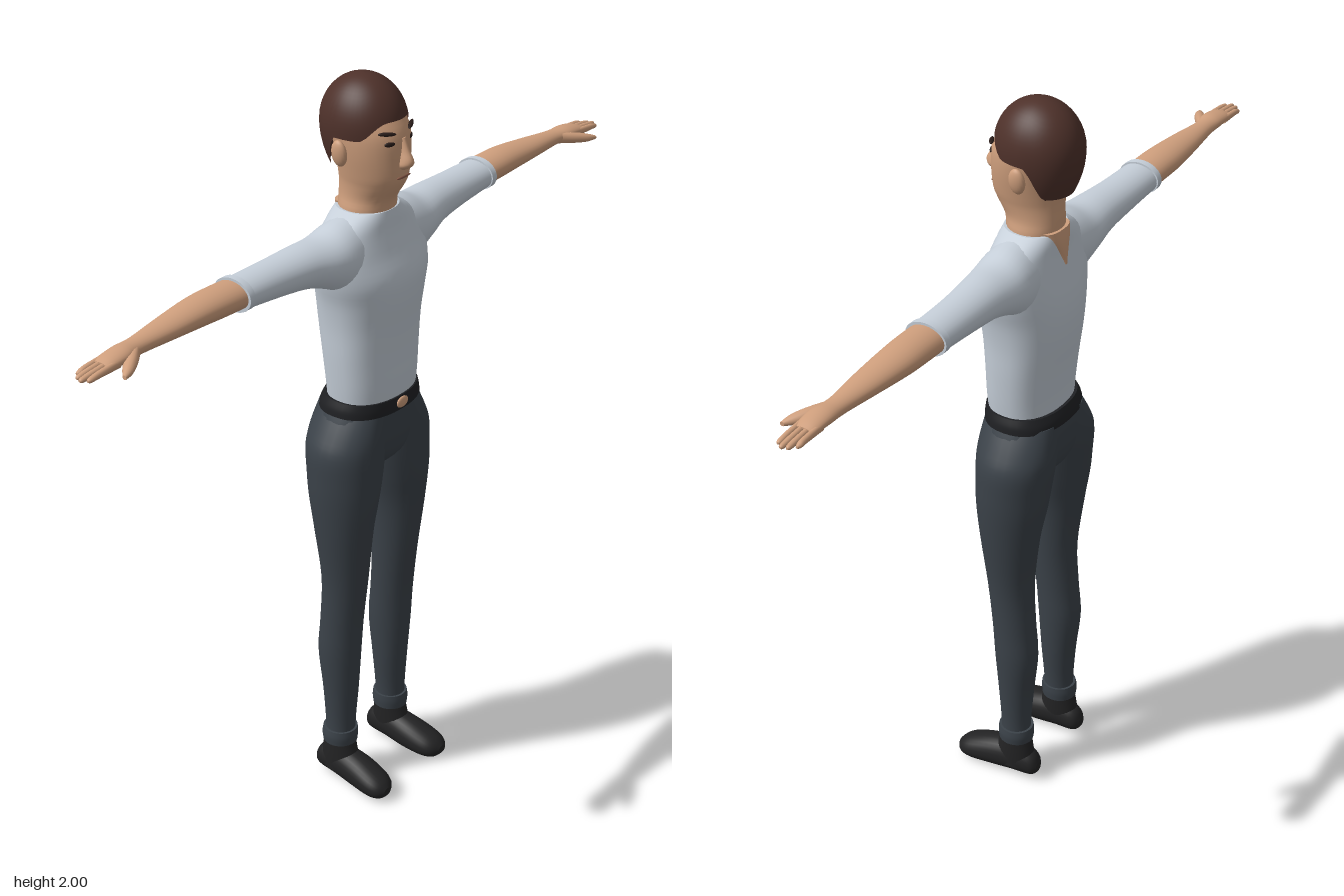
import * as THREE from 'three';

const mat = (name, color) => {
  const m = new THREE.MeshStandardMaterial({ color, side: THREE.DoubleSide });
  m.name = name;
  return m;
};

// Smooth interpolation between rows of numbers
function smoothRows(rows, sub) {
  const out = [];
  for (let i = 0; i < rows.length - 1; i++) {
    const a = rows[Math.max(i - 1, 0)], b = rows[i], c = rows[i + 1], d = rows[Math.min(i + 2, rows.length - 1)];
    for (let s = 0; s < sub; s++) {
      const t = s / sub;
      out.push(b.map((v, k) => v + 0.5 * t * (c[k] - a[k] + t * (2 * a[k] - 5 * v + 4 * c[k] - d[k] + t * (3 * (v - c[k]) + d[k] - a[k])))));
    }
  }
  out.push(rows[rows.length - 1]);
  return out;
}

// Rounded cross-sections along an axis. Rows: [t, u0, u1, v0, v1],
// where (u, v) is (y, z) along x, (z, x) along y and (x, y) along z.
function loft(axis, rows, { power = 2, sub = 4, n = 28, mirror = false } = {}) {
  const shift = { x: 1, y: 2, z: 0 }[axis];
  const pos = [], index = [];
  const put = (u, v, t) => {
    const p = [0, 0, 0];
    p[shift] = u; p[(shift + 1) % 3] = v; p[(shift + 2) % 3] = t;
    pos.push(mirror ? -p[0] : p[0], p[1], p[2]);
  };
  const bend = (w) => Math.sign(w) * Math.abs(w) ** (2 / power);
  const ring = ([t, u0, u1, v0, v1]) => {
    for (let i = 0; i < n; i++) {
      const a = (i / n) * Math.PI * 2;
      put((u0 + u1) / 2 + (u1 - u0) / 2 * bend(Math.cos(a)), (v0 + v1) / 2 + (v1 - v0) / 2 * bend(Math.sin(a)), t);
    }
  };
  const tri = (a, b, c) => (mirror ? index.push(a, c, b) : index.push(a, b, c));
  const sections = smoothRows(rows, sub);
  sections.forEach(ring);
  for (let j = 0; j < sections.length - 1; j++)
    for (let i = 0; i < n; i++) {
      const a = j * n + i, b = j * n + (i + 1) % n;
      tri(a, b, b + n);
      tri(a, b + n, a + n);
    }
  // End caps
  [sections[0], sections[sections.length - 1]].forEach((s, end) => {
    const o = pos.length / 3;
    ring(s);
    put((s[1] + s[2]) / 2, (s[3] + s[4]) / 2, s[0]);
    for (let i = 0; i < n; i++) {
      const a = o + i, b = o + (i + 1) % n;
      end ? tri(a, b, o + n) : tri(b, a, o + n);
    }
  });
  const g = new THREE.BufferGeometry();
  g.setAttribute('position', new THREE.Float32BufferAttribute(pos, 3));
  g.setIndex(index);
  g.computeVertexNormals();
  return g;
}

// Rows symmetric in x: [y, zBack, zFront, halfWidth]
const sym = (rows) => rows.map(([y, z0, z1, x]) => [y, z0, z1, -x, x]);

// Hair cap whose lower edge follows the hairline
function hairGeometry() {
  const g = new THREE.PlaneGeometry(1, 1, 48, 16);
  const p = g.attributes.position, uv = g.attributes.uv, S = THREE.MathUtils.smoothstep;
  for (let i = 0; i < p.count; i++) {
    const a = uv.getX(i) * Math.PI * 2, c = -Math.cos(a);
    const edge = 1.862 + 0.045 * S(c, 0.45, 0.95) - 0.087 * S(-c, 0.1, 0.6);
    const y = edge + (2 - edge) * Math.sin(uv.getY(i) * Math.PI / 2);
    const q = (y - 1.88) / 0.12;
    const r = q > 0 ? Math.sqrt(Math.max(0, 1 - q * q)) : 1 - 0.3 * q * q;
    p.setXYZ(i, -0.098 * r * Math.sin(a), y, -0.03 + 0.113 * r * c);
  }
  g.computeVertexNormals();
  return g;
}

export function createModel() {
  const model = new THREE.Group();
  const skin = mat('skin', 0xcf9f7d), hair = mat('hair', 0x4e312a), shirt = mat('shirt', 0xc5ced8);
  const trousers = mat('trousers', 0x3b4249), belt = mat('belt', 0x1f2023), shoe = mat('shoe', 0x232324);
  const dark = mat('eyeDark', 0x2a1d1a), lip = mat('lip', 0x8a5a48);

  const add = (name, geometry, material) => {
    const m = new THREE.Mesh(geometry, material);
    m.name = name;
    model.add(m);
    return m;
  };
  const blob = (name, material, [x, y, z], [sx, sy, sz], ry = 0, rz = 0) => {
    const m = add(name, new THREE.SphereGeometry(1, 20, 14), material);
    m.position.set(x, y, z);
    m.scale.set(sx, sy, sz);
    m.rotation.set(0, ry, rz);
  };

  // Head, neck and hair
  add('headAndNeck', loft('y', sym([
    [1.58, -0.085, 0.04, 0.065], [1.66, -0.09, 0.05, 0.074], [1.7, -0.092, 0.058, 0.067],
    [1.735, -0.092, 0.08, 0.069], [1.765, -0.094, 0.092, 0.075], [1.82, -0.1, 0.094, 0.085],
    [1.87, -0.115, 0.09, 0.089], [1.91, -0.12, 0.07, 0.084], [1.94, -0.11, 0.05, 0.07], [1.98, -0.06, 0, 0.03],
  ])), skin);
  add('hair', hairGeometry(), hair);
  add('nose', loft('y', sym([
    [1.785, 0.07, 0.096, 0.01], [1.797, 0.07, 0.115, 0.018], [1.812, 0.07, 0.119, 0.016],
    [1.835, 0.07, 0.107, 0.011], [1.865, 0.07, 0.094, 0.008],
  ]), { n: 16 }), skin);
  blob('mouth', lip, [0, 1.766, 0.09], [0.027, 0.004, 0.004]);

  // Torso, back neckline, belt and hips
  add('shirtBody', loft('y', sym([
    [1.165, -0.1, 0.085, 0.125], [1.22, -0.102, 0.088, 0.131], [1.3, -0.11, 0.09, 0.137],
    [1.38, -0.121, 0.096, 0.141], [1.45, -0.125, 0.104, 0.15], [1.51, -0.12, 0.103, 0.165],
    [1.57, -0.108, 0.08, 0.172], [1.62, -0.099, 0.064, 0.15], [1.65, -0.096, 0.058, 0.115], [1.672, -0.092, 0.053, 0.078],
  ]), { power: 2.3, n: 40 }), shirt);
  add('backNeckline', loft('y', sym([
    [1.585, -0.108, -0.04, 0.006], [1.62, -0.106, -0.04, 0.024], [1.65, -0.103, -0.04, 0.04], [1.677, -0.097, -0.04, 0.05],
  ]), { power: 2.6 }), skin);
  add('belt', loft('y', sym([
    [1.142, -0.12, 0.092, 0.143], [1.16, -0.117, 0.092, 0.14], [1.18, -0.108, 0.09, 0.132],
  ]), { power: 2.3, n: 40 }), belt);
  blob('beltBuckle', skin, [0, 1.161, 0.092], [0.022, 0.015, 0.006]);
  add('hips', loft('y', sym([
    [0.965, -0.06, 0.03, 0.03], [1.0, -0.095, 0.065, 0.09], [1.04, -0.112, 0.078, 0.15],
    [1.09, -0.118, 0.083, 0.158], [1.15, -0.115, 0.085, 0.134],
  ]), { power: 2.3, n: 40 }), trousers);

  for (const s of [1, -1]) {
    const side = s > 0 ? 'left' : 'right', mirror = s < 0;

    // Face details and ears
    blob(side + 'Ear', skin, [s * 0.096, 1.825, -0.028], [0.013, 0.034, 0.022], 0, s * -0.12);
    blob(side + 'Eye', dark, [s * 0.04, 1.856, 0.08], [0.014, 0.006, 0.004], s * 0.45);
    blob(side + 'Eyebrow', dark, [s * 0.045, 1.882, 0.076], [0.024, 0.005, 0.006], s * 0.5, s * 0.12);

    // Sleeve
    add(side + 'Sleeve', loft('x', [
      [0.04, 1.48, 1.67, -0.09, 0.055], [0.12, 1.48, 1.658, -0.097, 0.06], [0.18, 1.508, 1.64, -0.096, 0.054],
      [0.25, 1.532, 1.638, -0.09, 0.038], [0.35, 1.545, 1.634, -0.087, 0.026], [0.475, 1.557, 1.632, -0.086, 0.02],
    ], { mirror }), shirt);
    add(side + 'SleeveHem', loft('x', [
      [0.46, 1.553, 1.637, -0.09, 0.024], [0.478, 1.553, 1.637, -0.09, 0.024],
    ], { sub: 1, mirror }), shirt);

    // Forearm, palm, fingers and thumb
    add(side + 'Forearm', loft('x', [
      [0.44, 1.56, 1.629, -0.084, 0.017], [0.53, 1.562, 1.632, -0.085, 0.016], [0.6, 1.565, 1.63, -0.083, 0.013],
      [0.7, 1.57, 1.621, -0.071, 0.007], [0.8, 1.573, 1.612, -0.056, -0.002], [0.85, 1.574, 1.612, -0.056, 0.006],
      [0.89, 1.576, 1.606, -0.054, 0.005], [0.915, 1.579, 1.598, -0.05, 0.002],
    ], { mirror }), skin);
    for (let f = 0; f < 4; f++) {
      const z = -0.046 + f * 0.0145, end = [0.965, 0.98, 0.985, 0.975][f];
      add(side + 'Finger' + (f + 1), loft('x', [
        [0.88, 1.578, 1.6, z - 0.008, z + 0.008], [0.94, 1.578, 1.595, z - 0.008, z + 0.008],
        [end - 0.008, 1.577, 1.59, z - 0.007, z + 0.007], [end, 1.58, 1.586, z - 0.003, z + 0.003],
      ], { n: 12, mirror }), skin);
    }
    add(side + 'Thumb', loft('x', [
      [0.81, 1.576, 1.606, -0.03, -0.004], [0.845, 1.572, 1.602, -0.015, 0.022],
      [0.88, 1.57, 1.594, 0.008, 0.041], [0.907, 1.573, 1.584, 0.034, 0.046],
    ], { n: 14, mirror }), skin);

    // Trouser leg with turned cuff
    add(side + 'TrouserLeg', loft('y', [
      [0.14, -0.07, 0.012, 0.07, 0.148], [0.2, -0.07, 0.013, 0.067, 0.148], [0.3, -0.077, 0.02, 0.058, 0.154],
      [0.42, -0.089, 0.029, 0.052, 0.162], [0.52, -0.081, 0.036, 0.05, 0.162], [0.65, -0.075, 0.05, 0.044, 0.165],
      [0.8, -0.091, 0.067, 0.034, 0.182], [0.9, -0.108, 0.079, 0.014, 0.191], [0.97, -0.116, 0.083, 0, 0.193],
      [1.04, -0.123, 0.084, -0.01, 0.19], [1.09, -0.122, 0.084, -0.01, 0.167], [1.15, -0.112, 0.08, -0.01, 0.13],
    ], { mirror }), trousers);
    add(side + 'TrouserCuff', loft('y', [
      [0.128, -0.077, 0.018, 0.064, 0.155], [0.15, -0.079, 0.02, 0.062, 0.157], [0.17, -0.076, 0.018, 0.063, 0.154],
    ], { mirror }), trousers);

    // Shoe and ankle
    add(side + 'Shoe', loft('z', [
      [-0.102, 0.098, 0.124, 0.03, 0.058], [-0.085, 0.08, 0.14, 0.015, 0.085], [-0.03, 0.072, 0.15, 0.01, 0.105],
      [0.04, 0.067, 0.158, 0.002, 0.095], [0.1, 0.072, 0.162, 0, 0.074], [0.13, 0.085, 0.154, 0.006, 0.058],
      [0.145, 0.108, 0.136, 0.02, 0.042],
    ], { mirror }), shoe);
    add(side + 'Ankle', loft('y', [
      [0.04, -0.088, 0.04, 0.074, 0.15], [0.09, -0.082, 0.026, 0.072, 0.15], [0.15, -0.07, 0.01, 0.072, 0.147],
    ], { mirror }), shoe);
  }
  return model;
}
